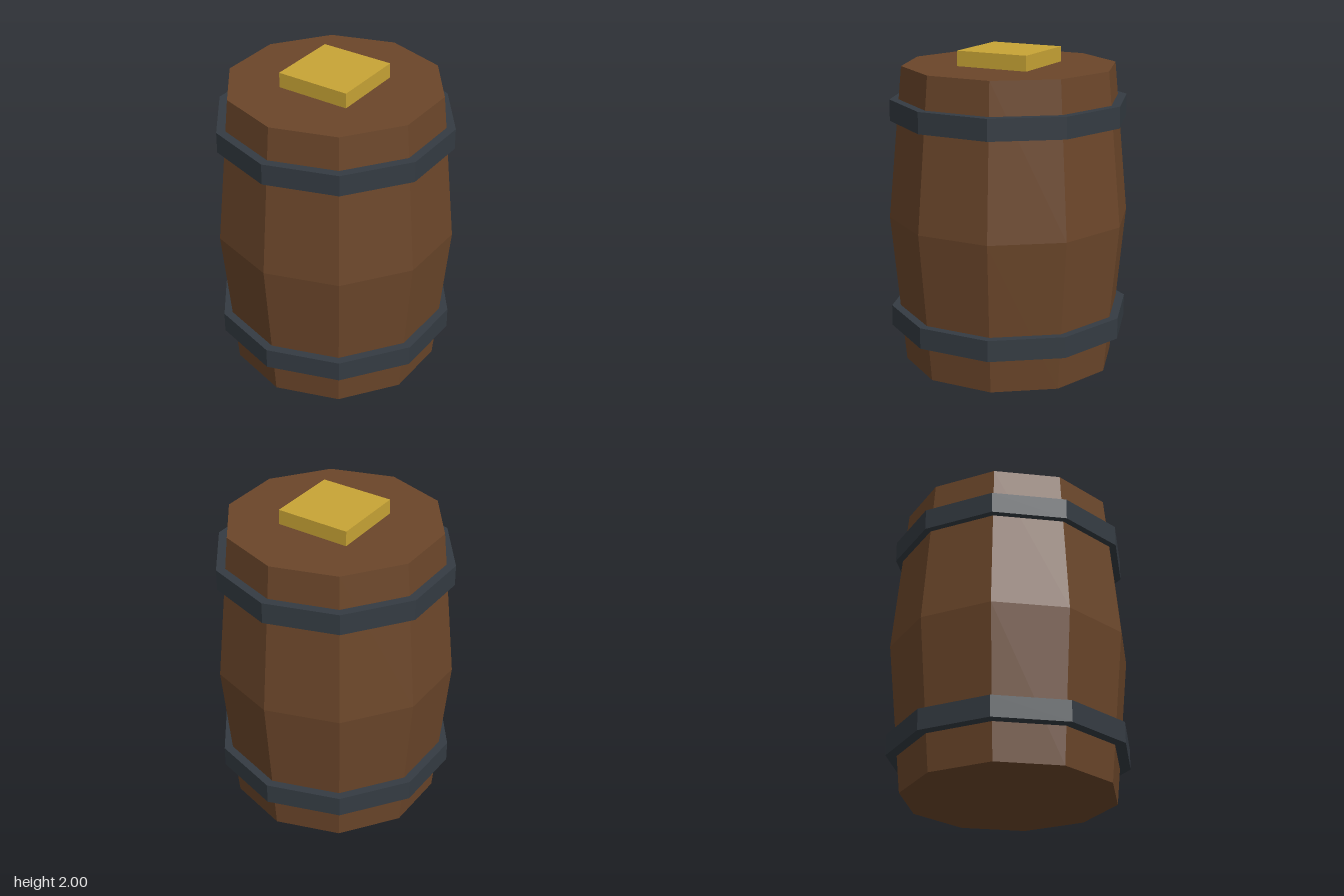
import * as THREE from 'three';

const SIDES = 10;

// Faceted solid of revolution from a [radius, y] profile, listed bottom to top
function facetedLathe(profile) {
  const points = profile.map(([r, y]) => new THREE.Vector2(r, y));
  const geometry = new THREE.LatheGeometry(points, SIDES).toNonIndexed();
  geometry.computeVertexNormals();
  return geometry;
}

export function createModel() {
  const wood = new THREE.MeshStandardMaterial({ color: 0x6b462a });
  const iron = new THREE.MeshStandardMaterial({ color: 0x343b42 });
  const gold = new THREE.MeshStandardMaterial({ color: 0xc8a435 });

  const model = new THREE.Group();
  model.name = 'barrel';
  const add = (name, geometry, material) => {
    const mesh = new THREE.Mesh(geometry, material);
    mesh.name = name;
    model.add(mesh);
    return mesh;
  };

  // Bulging wooden body with closed ends
  add('body', facetedLathe([[0, 0], [0.67, 0], [0.76, 0.953], [0.67, 1.905], [0, 1.905]]), wood);

  // Iron hoops: closed rings whose inner wall sits inside the wood
  for (const [name, radius, bottom, top] of [
    ['lowerHoop', 0.76, 0.232, 0.365],
    ['upperHoop', 0.746, 1.567, 1.7],
  ]) {
    const inner = 0.66;
    add(name, facetedLathe([[inner, bottom], [radius, bottom], [radius, top], [inner, top], [inner, bottom]]), iron);
  }

  // Square plate on the lid
  add('lidPlate', new THREE.BoxGeometry(0.475, 0.095, 0.475), gold).position.y = 1.9525;

  return model;
}
